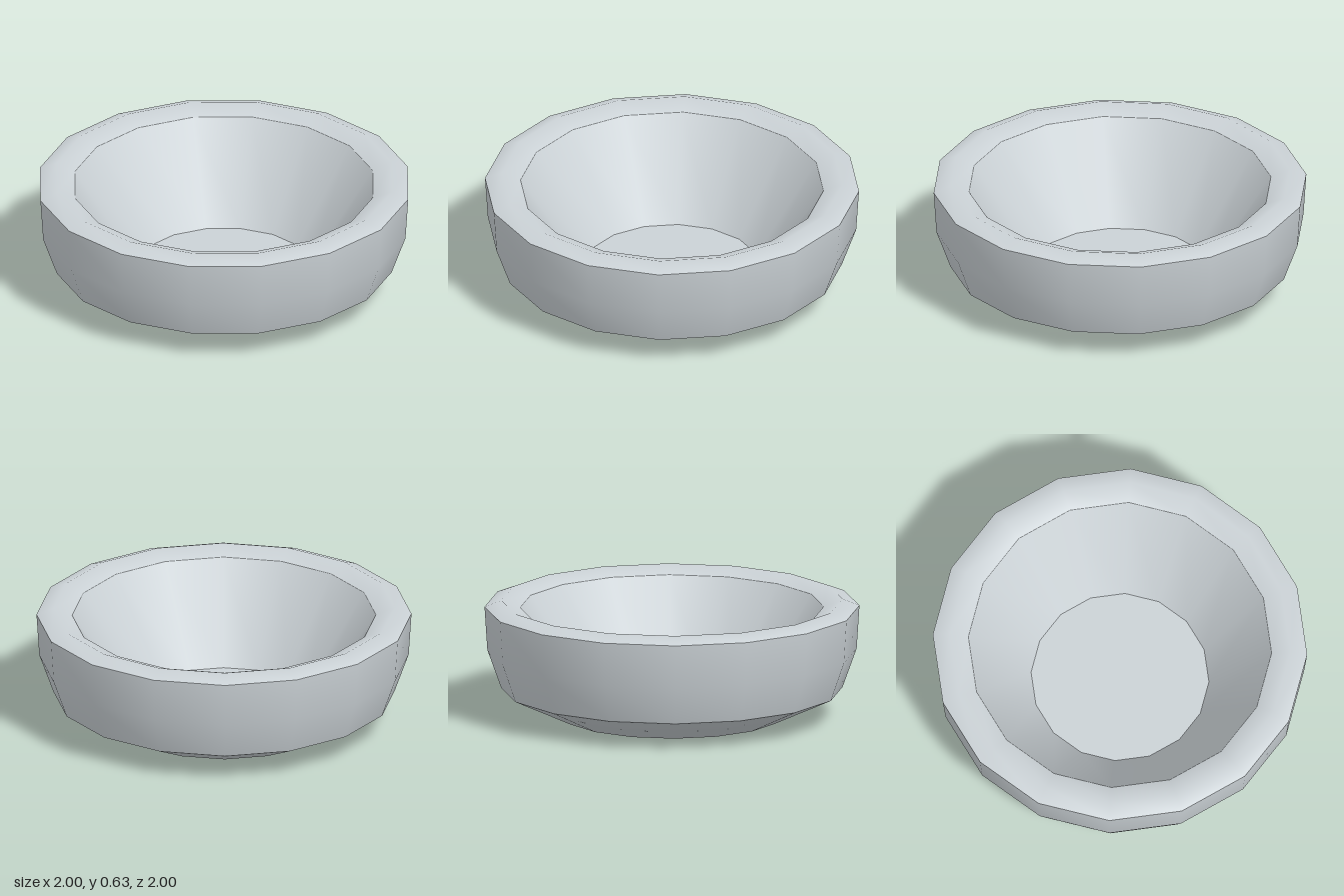
import * as THREE from 'three';

export function createModel() {
  const model = new THREE.Group();
  const grey = new THREE.MeshStandardMaterial({ color: 0xcbd2d6 });
  grey.name = 'pale grey';

  // Each part is a smooth sixteen-sided band; sharp edges fall between parts
  const addBand = (name, profile) => {
    const points = profile.map(([r, y]) => new THREE.Vector2(r, y));
    const band = new THREE.Mesh(new THREE.LatheGeometry(points, 16), grey);
    band.name = name;
    model.add(band);
  };

  addBand('underside', [[0, 0], [0.59, 0], [0.91, 0.15]]);
  addBand('outerWall', [[0.91, 0.15], [0.985, 0.36], [1, 0.595]]);
  addBand('rim', [[1, 0.595], [0.91, 0.63], [0.81, 0.59]]);
  addBand('innerWall', [[0.81, 0.59], [0.475, 0.09]]);
  addBand('floor', [[0.475, 0.09], [0, 0.09]]);
  return model;
}
